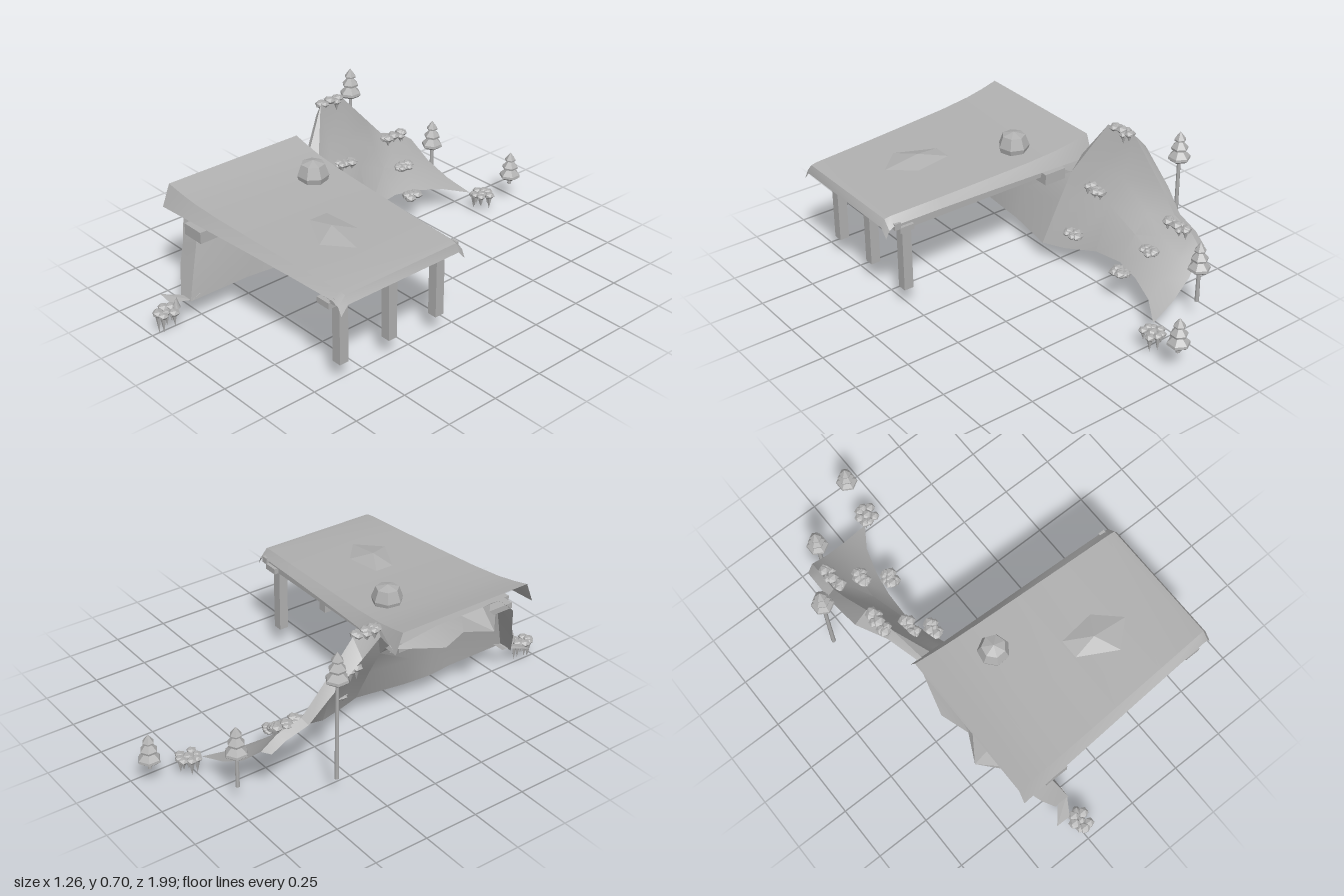
import * as THREE from 'three';
import { toCreasedNormals } from 'three/addons/utils/BufferGeometryUtils.js';

const stone = new THREE.MeshStandardMaterial({ color: 0xb0b0b0, side: THREE.DoubleSide });
stone.name = 'plain grey';

let seed = 7;
const rand = () => (seed = (seed * 16807) % 2147483647) / 2147483647;
const lerp = THREE.MathUtils.lerp;

function add(parent, name, geo, x = 0, y = 0, z = 0) {
  const m = new THREE.Mesh(geo, stone);
  m.name = name;
  m.position.set(x, y, z);
  parent.add(m);
  return m;
}

// Box given by its limits on each axis
function block(parent, name, x0, x1, y0, y1, z0, z1) {
  return add(parent, name, new THREE.BoxGeometry(x1 - x0, y1 - y0, z1 - z0),
    (x0 + x1) / 2, (y0 + y1) / 2, (z0 + z1) / 2);
}

// Surface through rows of points
function sheet(rows, crease) {
  const n = rows[0].length, idx = [];
  for (let i = 0; i < rows.length - 1; i++) {
    for (let j = 0; j < n - 1; j++) {
      const a = i * n + j, b = a + n;
      idx.push(a, a + 1, b, a + 1, b + 1, b);
    }
  }
  const g = new THREE.BufferGeometry();
  g.setAttribute('position', new THREE.Float32BufferAttribute(rows.flat(2), 3));
  g.setIndex(idx);
  return toCreasedNormals(g, crease);
}

// Cliff surface: each station is z, z lean, then x and y pairs from crest to foot
function cliffSheet(stations) {
  const rows = stations.map(([z, lean, ...p]) => {
    const n = p.length / 2;
    return Array.from({ length: n }, (_, j) => [p[2 * j], p[2 * j + 1], z + lean * j / (n - 1)]);
  });
  return sheet(rows, 0.45);
}

const flat = (g) => toCreasedNormals(g, 0.02);
const lathe = (profile, sides) =>
  flat(new THREE.LatheGeometry(profile.map(([r, y]) => new THREE.Vector2(r, y)), sides));

// Three-tier tree on a thin trunk
function tree(parent, x, z, base, top) {
  const g = new THREE.Group();
  g.name = 'tree';
  g.position.set(x, 0, z);
  parent.add(g);
  const trunk = base + 0.03 - 0.1;
  add(g, 'trunk', new THREE.CylinderGeometry(0.008, 0.01, trunk, 6), 0, 0.1 + trunk / 2, 0);
  const h = top - base;
  const profile = [[0, 0], [0.036, 0], [0.05, 0.08], [0.048, 0.16], [0.02, 0.36], [0.036, 0.39],
    [0.038, 0.46], [0.014, 0.66], [0.025, 0.69], [0.026, 0.74], [0, 1]];
  add(g, 'foliage', lathe(profile.map(([r, t]) => [r, t * h]), 6), 0, base, 0);
}

// Cluster of flat lumps, with optional spikes hanging below
function clump(parent, x, y, z, wx, wz, drop) {
  const g = new THREE.Group();
  g.name = 'shrubClump';
  g.position.set(x, y, z);
  parent.add(g);
  for (let i = 0; i < 8; i++) {
    const a = i * 2.4, r = i ? 0.62 : 0;
    const px = Math.cos(a) * wx * r, pz = Math.sin(a) * wz * r;
    const size = 0.02 + rand() * 0.009;
    const py = -rand() * 0.01;
    add(g, 'shrubLump', new THREE.IcosahedronGeometry(size, 0), px, py, pz).scale.y = 0.6;
    if (drop) {
      const len = drop * (0.5 + 0.5 * rand());
      const c = add(g, 'hangingSpike', flat(new THREE.ConeGeometry(0.015, len, 5)), px, py - len / 2, pz);
      c.rotation.x = Math.PI;
    }
  }
}

export function createModel() {
  const model = new THREE.Group();
  model.name = 'cliffShelter';

  // Roof: gently falling sheet with sloped skirts and a drooping end lip
  const stations = [[-0.44, 0.553, 0.457], [-0.36, 0.535, 0.457], [-0.27, 0.52, 0.457], [-0.12, 0.507, 0.457],
    [0.1, 0.497, 0.457], [0.35, 0.487, 0.455], [0.58, 0.48, 0.45], [0.61, 0.475, 0.435], [0.627, 0.44, 0.4]];
  const roofRows = stations.map(([x, y, low]) => {
    const t = (x + 0.44) / 1.06;
    return [[x, low, lerp(0.025, 0.065, t)], [x, y, lerp(0.06, 0.1, t)],
      [x, y, lerp(0.742, 0.68, t)], [x, low, lerp(0.78, 0.715, t)]];
  });
  add(model, 'roof', sheet(roofRows, 0.5));

  // Deck, joists and cross beams under the roof
  block(model, 'deck', -0.4, 0.58, 0.43, 0.457, 0.075, 0.7);
  for (let i = 0; i < 5; i++) {
    const z = 0.1 + i * 0.138;
    block(model, 'joist', -0.31, 0.56, 0.403, 0.43, z - 0.018, z + 0.018);
  }
  block(model, 'wallBeam', -0.31, -0.2, 0.375, 0.427, 0.05, 0.765);
  block(model, 'postBeam', 0.49, 0.56, 0.403, 0.43, 0.06, 0.72);
  block(model, 'edgeBeam', 0.555, 0.585, 0.427, 0.457, 0.06, 0.71);
  for (const z of [0.108, 0.367, 0.624]) block(model, 'post', 0.49, 0.535, 0.1, 0.43, z - 0.022, z + 0.022);

  // Rocks on the roof
  const boulder = add(model, 'boulder',
    lathe([[0.064, 0], [0.07, 0.025], [0.052, 0.075], [0, 0.09]], 7), -0.145, 0.505, 0.21);
  boulder.rotation.y = 0.5;
  const rim = [[0.11, 0.35], [0.28, 0.33], [0.39, 0.43], [0.28, 0.53], [0.11, 0.44], [0.11, 0.35]];
  add(model, 'slabRock', sheet([rim.map(([x, z]) => [x, 0.502 - x * 0.04, z]),
    rim.map(() => [0.225, 0.516, 0.42])], 0.02));

  // Cliff wall beneath the roof, bulging outward in two places
  add(model, 'cliffWall', cliffSheet([
    [0.66, 0.16, -0.41, 0.46, -0.41, 0.42, -0.37, 0.3, -0.34, 0.22, -0.29, 0.11],
    [0.66, 0.16, -0.36, 0.46, -0.3, 0.42, -0.27, 0.34, -0.245, 0.23, -0.22, 0.11],
    [0.52, 0, -0.41, 0.5, -0.49, 0.42, -0.27, 0.39, -0.24, 0.25, -0.22, 0.11],
    [0.4, 0, -0.41, 0.5, -0.43, 0.43, -0.27, 0.39, -0.24, 0.25, -0.22, 0.1],
    [0.27, 0, -0.41, 0.5, -0.47, 0.42, -0.28, 0.39, -0.25, 0.25, -0.21, 0.1],
    [0.03, 0, -0.41, 0.47, -0.39, 0.48, -0.33, 0.41, -0.26, 0.28, -0.17, 0.1]]));

  // Ridge behind the roof: low outer rim, crest, steep face, ledge and foot
  add(model, 'cliffRidge', cliffSheet([
    [0.03, 0, -0.41, 0.47, -0.39, 0.48, -0.33, 0.41, -0.26, 0.28, -0.17, 0.1],
    [-0.08, 0, -0.47, 0.6, -0.44, 0.655, -0.38, 0.46, -0.3, 0.34, -0.21, 0.11],
    [-0.22, 0, -0.535, 0.58, -0.47, 0.65, -0.41, 0.46, -0.34, 0.35, -0.27, 0.14],
    [-0.38, 0, -0.53, 0.45, -0.48, 0.48, -0.42, 0.35, -0.35, 0.275, -0.27, 0.165],
    [-0.47, -0.03, -0.52, 0.36, -0.48, 0.375, -0.41, 0.29, -0.34, 0.235, -0.25, 0.155],
    [-0.58, -0.05, -0.515, 0.325, -0.475, 0.34, -0.4, 0.25, -0.31, 0.19, -0.21, 0.13],
    [-0.64, -0.1, -0.51, 0.285, -0.47, 0.285, -0.38, 0.2, -0.27, 0.14, -0.14, 0.1]]));

  // Ledge linking the cliff foot to the front clump
  const ledge = [[[-0.29, 0.13, 0.77], [-0.22, 0.13, 0.77]], [[-0.27, 0.115, 0.81], [-0.22, 0.115, 0.81]],
    [[-0.34, 0.12, 0.89], [-0.27, 0.11, 0.89]]];
  add(model, 'ledge', sheet(ledge, 0.1));

  // Shrubs: x, y, z, half widths, spike length
  const shrubs = [
    [-0.24, 0.105, 0.93, 0.05, 0.06, 0.1], [-0.1, 0.1, -0.78, 0.06, 0.06, 0.075],
    [-0.46, 0.653, -0.15, 0.03, 0.08, 0.06], [-0.45, 0.36, -0.53, 0.03, 0.09, 0.05],
    [-0.33, 0.26, -0.49, 0.03, 0.05, 0.03], [-0.33, 0.4, -0.13, 0.03, 0.065, 0.06],
    [-0.22, 0.205, -0.12, 0.03, 0.05, 0], [-0.22, 0.17, -0.44, 0.03, 0.045, 0]];
  shrubs.forEach((s) => clump(model, ...s));
  add(model, 'sprout', new THREE.ConeGeometry(0.018, 0.05, 6), -0.23, 0.13, 0.885);

  // Trees
  tree(model, -0.585, -0.38, 0.56, 0.7);
  tree(model, -0.395, -0.73, 0.25, 0.39);
  tree(model, -0.083, -0.95, 0.13, 0.265);
  return model;
}
